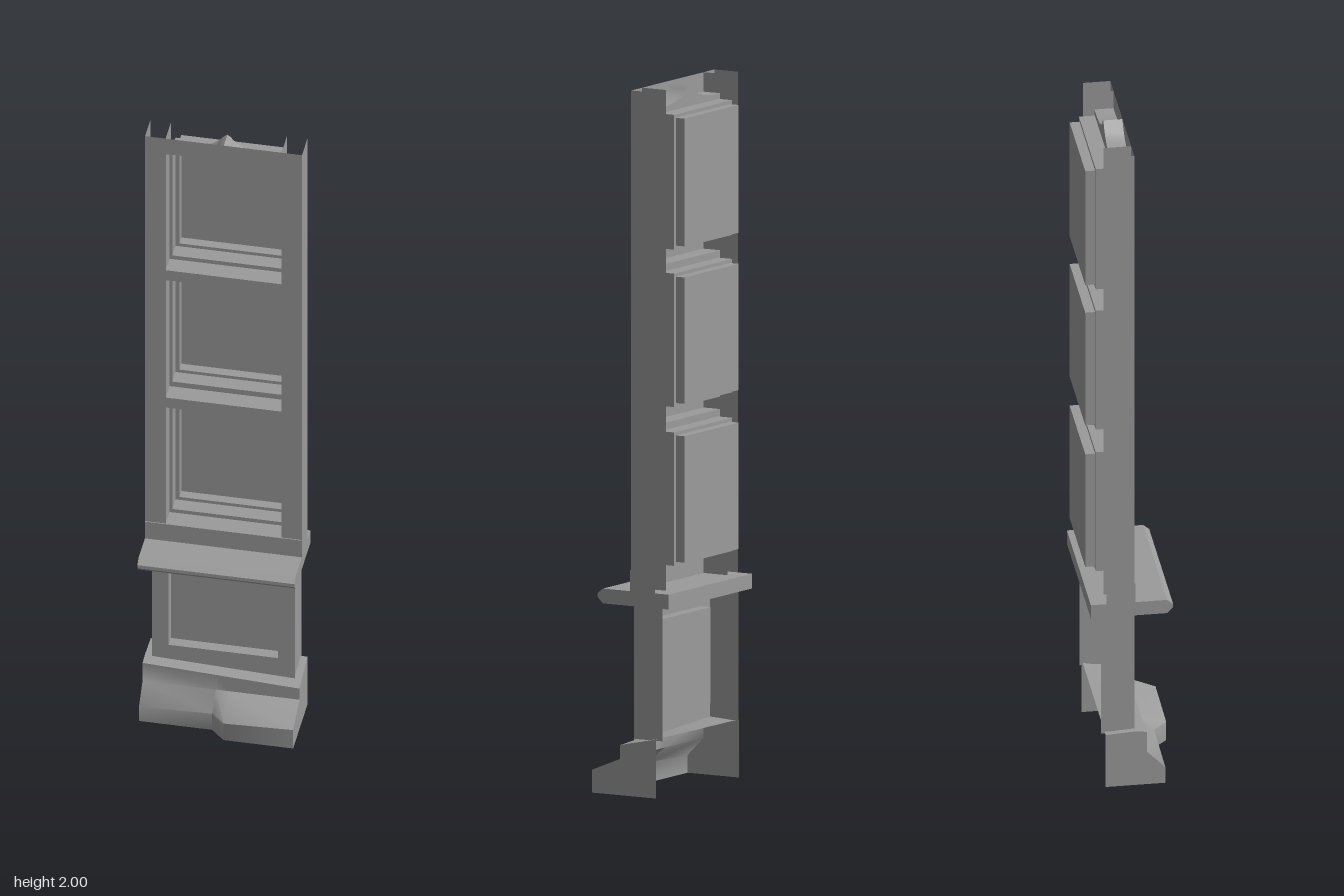
import * as THREE from 'three';
import { toCreasedNormals } from 'three/addons/utils/BufferGeometryUtils.js';

const mat = new THREE.MeshStandardMaterial({ color: 0x9b9b9b, side: THREE.DoubleSide });

function add(parent, name, geo) {
  const m = new THREE.Mesh(geo, mat);
  m.name = name;
  parent.add(m);
}

// Closed rectangle outline, counter-clockwise
const rect = (w, y0, y1) => [[-w, y0], [w, y0], [w, y1], [-w, y1]].map(p => new THREE.Vector2(...p));

// Skin between successive cross-sections; gentle bends are smooth, corners sharp
function loft(sections, closed) {
  const pos = [], n = sections[0].length;
  for (let s = 0; s < sections.length - 1; s++) {
    const A = sections[s], B = sections[s + 1];
    for (let i = 0; i < (closed ? n : n - 1); i++) {
      const j = (i + 1) % n;
      for (const p of [A[i], B[j], A[j], A[i], B[i], B[j]]) pos.push(...p);
    }
  }
  const g = new THREE.BufferGeometry();
  g.setAttribute('position', new THREE.Float32BufferAttribute(pos, 3));
  return toCreasedNormals(g, 0.9);
}

// Flat sheet at depth z, with optional openings
function sheet(outline, holes, z) {
  const s = new THREE.Shape(outline);
  for (const h of holes) s.holes.push(new THREE.Path(h));
  return new THREE.ShapeGeometry(s).translate(0, 0, z);
}

// Stepped recess: each outline is pushed back, then stepped in to the next
function recess(parent, name, outlines, z0, depths) {
  const g = new THREE.Group();
  g.name = name;
  let z = z0;
  outlines.forEach((o, i) => {
    const zb = depths[i];
    add(g, 'recessWall', loft([zb, z].map(d => o.map(p => [p.x, p.y, d])), true));
    const next = outlines[i + 1];
    add(g, next ? 'recessStep' : 'recessBack', sheet(o, next ? [next] : [], zb));
    z = zb;
  });
  parent.add(g);
}

// Upright side wall, seen edge-on from the front
function wall(parent, name, x, y0, y1, z0, z1) {
  const g = new THREE.PlaneGeometry(z0 - z1, y1 - y0).rotateY(Math.PI / 2);
  add(parent, name, g.translate(x, (y0 + y1) / 2, (z0 + z1) / 2));
}

export function createModel() {
  const root = new THREE.Group();
  root.name = 'panelledPilaster';

  // Upper shaft: three openings, the top one with an ogee head
  const shaft = new THREE.Group();
  shaft.name = 'upperShaft';
  root.add(shaft);
  const zf = -0.001;
  const openings = [[0.64, 1.05], [1.085, 1.5], [1.535, 1.945]].map(([a, b]) => rect(0.165, a, b));
  const half = [[0.12, 1.946], [0.09, 1.949], [0.065, 1.954], [0.045, 1.961], [0.03, 1.97], [0.018, 1.981], [0.009, 1.992]];
  const ogee = [...half, [0, 1.998], ...half.map(([x, y]) => [-x, y]).reverse()];
  openings[2].splice(3, 0, ...ogee.map(p => new THREE.Vector2(...p)));

  add(shaft, 'frontFrame', sheet(rect(0.224, 0.58, 2), openings, zf));
  [[0.652, 1.03], [1.102, 1.48], [1.548, 1.93]].forEach(([a, b], i) =>
    recess(shaft, 'recessedPanel', [openings[i], rect(0.157, a, b), rect(0.146, a + 0.01, b - 0.01)],
      zf, [-0.055, -0.1, -0.128]));
  for (const s of [-1, 1]) {
    wall(shaft, 'outerSide', s * 0.224, 0.58, 2, zf, -0.079);
    wall(shaft, 'innerSide', s * 0.1655, 0.58, 2, zf, -0.079);
  }
  add(shaft, 'bottomRail', new THREE.BoxGeometry(0.448, 0.06, 0.003).translate(0, 0.61, 0.0005));

  // Projecting ledge with a chamfered nose
  const nose = [[-0.124, 0.581], [0.092, 0.581], [0.109, 0.567], [0.109, 0.556], [0.092, 0.539], [-0.124, 0.539]];
  const ledge = new THREE.ExtrudeGeometry(new THREE.Shape(nose.map(([z, y]) => new THREE.Vector2(-z, y))),
    { depth: 0.448, bevelEnabled: false });
  add(root, 'ledge', ledge.translate(0, 0, -0.224).rotateY(Math.PI / 2));

  // Lower pedestal with one shallow panel
  const pedestal = new THREE.Group();
  pedestal.name = 'pedestal';
  root.add(pedestal);
  const low = rect(0.156, 0.215, 0.488);
  add(pedestal, 'frontFrame', sheet(rect(0.204, 0.15, 0.54), [low], 0.002));
  recess(pedestal, 'shallowPanel', [low], 0.002, [-0.03]);
  for (const s of [-1, 1]) wall(pedestal, 'pedestalSide', s * 0.204, 0.16, 0.54, 0.002, -0.092);

  // Uneven plinth, open behind and below; [z, y] profiles at its two ends
  const plinth = new THREE.Group();
  plinth.name = 'plinth';
  root.add(plinth);
  const rightEnd = [[0.087, 0], [0.087, 0.05], [0.035, 0.103], [0.035, 0.166], [0, 0.17], [-0.082, 0.165]];
  const leftEnd = [[0.127, 0], [0.127, 0.065], [0.035, 0.103], [0.035, 0.142], [0, 0.15], [-0.082, 0.167]];
  const sections = [-0.224, -0.015, 0.025, 0.224].map(x => {
    const t = (x + 0.224) / 0.448;
    return rightEnd.map(([z, y], i) => [x,
      THREE.MathUtils.lerp(y, leftEnd[i][1], t),
      x < 0 ? z : leftEnd[i][0]]);
  });
  add(plinth, 'plinthFront', loft(sections.reverse(), false));
  [[rightEnd, -0.224], [leftEnd, 0.224]].forEach(([profile, x]) => {
    const pts = [...profile, [-0.082, 0]].map(([z, y]) => new THREE.Vector2(-z, y));
    add(plinth, 'plinthEnd', new THREE.ShapeGeometry(new THREE.Shape(pts)).rotateY(Math.PI / 2).translate(x, 0, 0));
  });

  return root;
}
